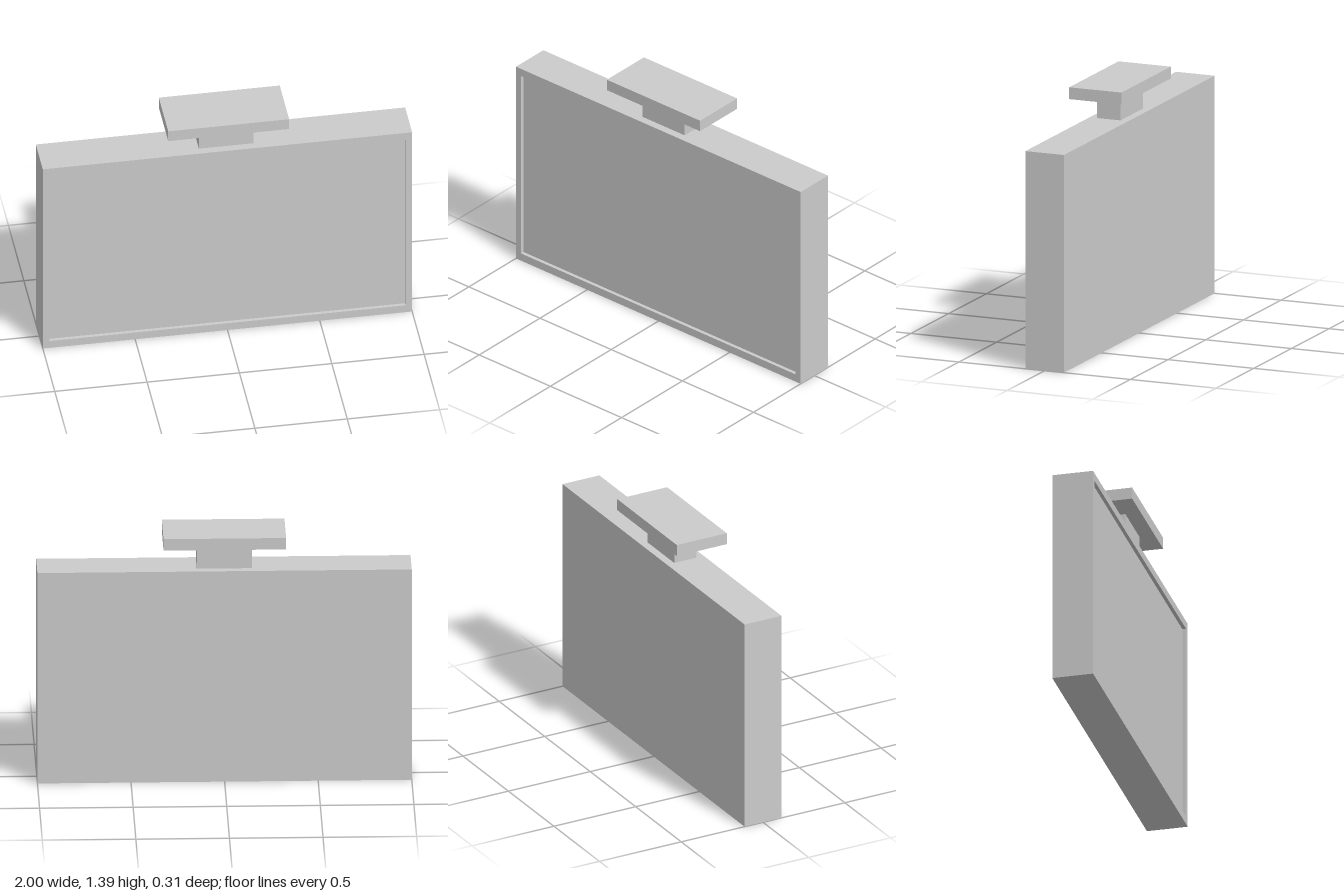
import * as THREE from 'three';

const material = new THREE.MeshStandardMaterial({ color: 0xcccccc });

function addBox(group, name, w, h, d, y, z = 0) {
  const mesh = new THREE.Mesh(new THREE.BoxGeometry(w, h, d), material);
  mesh.name = name;
  mesh.position.set(0, y + h / 2, z);
  group.add(mesh);
}

// Counter-clockwise rectangle centred on x = 0
function rectangle(path, halfWidth, bottom, top) {
  path.moveTo(-halfWidth, bottom);
  path.lineTo(halfWidth, bottom);
  path.lineTo(halfWidth, top);
  path.lineTo(-halfWidth, top);
  path.closePath();
  return path;
}

export function createModel() {
  const group = new THREE.Group();
  group.name = 'hangingSign';

  const height = 1.195, depth = 0.225, recess = 0.02;

  // Solid case behind the recessed panel
  addBox(group, 'case', 2, height, depth - recess, 0, -recess / 2);

  // Raised border around the front panel
  const border = rectangle(new THREE.Shape(), 1, 0, height);
  border.holes.push(rectangle(new THREE.Path(), 0.965, 0.045, 1.15));
  const frame = new THREE.Mesh(
    new THREE.ExtrudeGeometry(border, { depth: recess, bevelEnabled: false }), material);
  frame.name = 'frontFrame';
  frame.position.z = depth / 2 - recess;
  group.add(frame);

  // Ceiling mount
  addBox(group, 'mountNeck', 0.295, 0.135, 0.136, height);
  addBox(group, 'mountPlate', 0.655, 0.065, 0.305, 1.33);

  return group;
}
